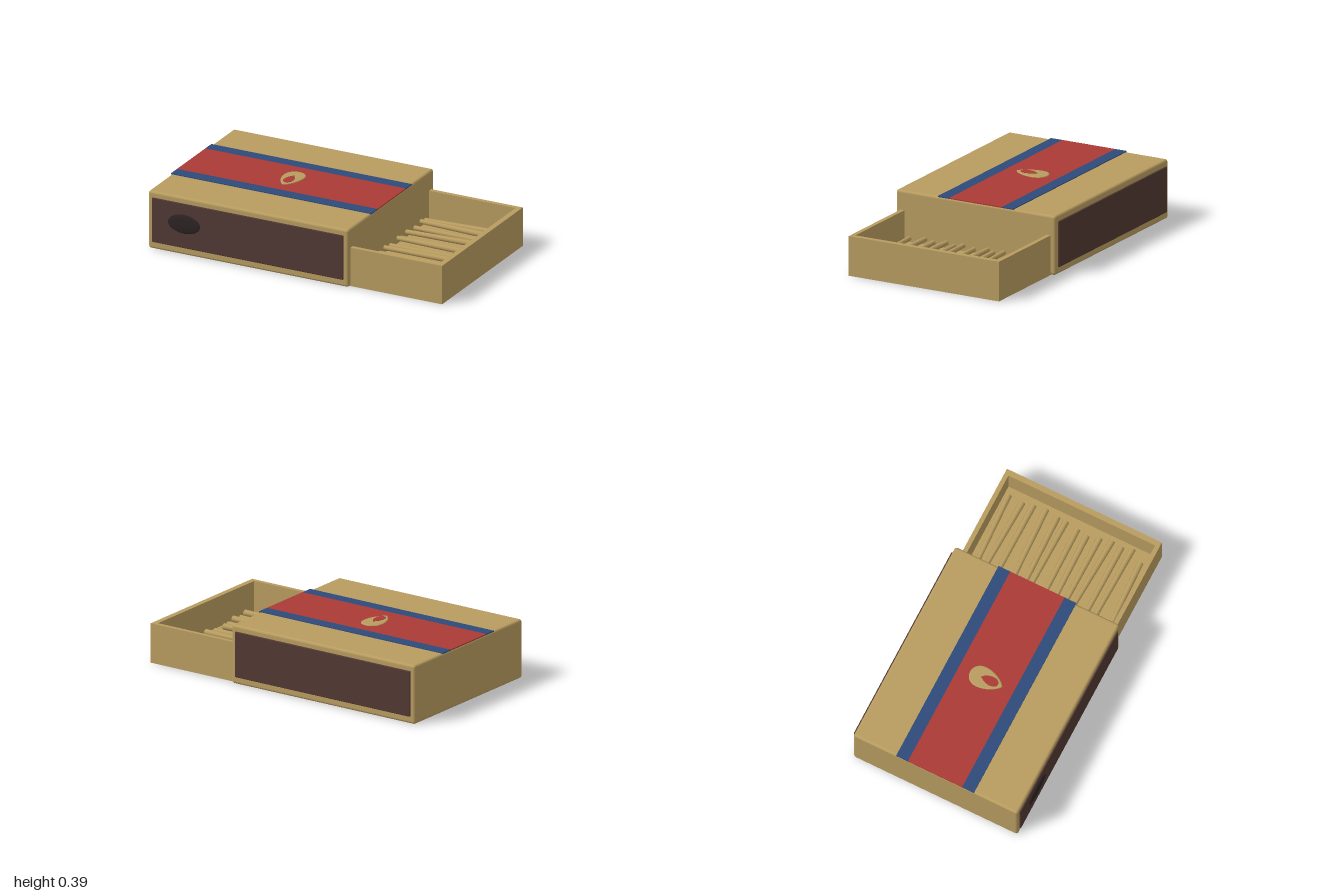
import * as THREE from 'three';
import { RoundedBoxGeometry } from 'three/addons/geometries/RoundedBoxGeometry.js';

const mat = (name, color) => Object.assign(new THREE.MeshStandardMaterial({ color }), { name });

export function createModel() {
  const root = new THREE.Group();
  root.name = 'matchbox';
  const card = mat('tan card', 0xb89c60);
  const red = mat('red label', 0xaa3a35);
  const blue = mat('blue stripe', 0x2f4a7a);
  const brown = mat('striker brown', 0x513833);
  const dark = mat('scorch mark', 0x2c2324);

  const add = (name, geometry, material, parent = root) => {
    const mesh = new THREE.Mesh(geometry, material);
    mesh.name = name;
    parent.add(mesh);
    return mesh;
  };
  // Box given by its minimum and maximum corners, optionally rounded
  const box = (name, a, b, material, radius = 0, parent = root) => {
    const s = a.map((v, i) => b[i] - v);
    const geometry = radius ? new RoundedBoxGeometry(...s, 3, radius) : new THREE.BoxGeometry(...s);
    const mesh = add(name, geometry, material, parent);
    mesh.position.set(...a.map((v, i) => (v + b[i]) / 2));
    return mesh;
  };

  // Outer sleeve
  box('sleeve', [-1, 0.003, -0.562], [0.372, 0.379, 0.556], card, 0.016);

  // Striking strips on the long sides, with a scorch mark on the front one
  box('frontStriker', [-0.97, 0.05, 0.54], [0.34, 0.34, 0.564], brown, 0.004);
  box('backStriker', [-0.97, 0.05, -0.573], [0.34, 0.34, -0.55], brown, 0.004);
  const scorch = add('scorchMark', new THREE.SphereGeometry(1, 24, 12), dark);
  scorch.scale.set(0.11, 0.062, 0.009);
  scorch.position.set(-0.75, 0.208, 0.564);

  // Label bands across the top
  box('redBand', [-1, 0.377, -0.19], [0.375, 0.384, 0.18], red);
  box('backStripe', [-1, 0.377, -0.27], [0.375, 0.384, -0.19], blue);
  box('frontStripe', [-1, 0.377, 0.18], [0.375, 0.384, 0.26], blue);

  // Drop-shaped emblem: shape y runs toward the back of the box
  const emblem = new THREE.Shape();
  emblem.moveTo(0, -0.095);
  emblem.bezierCurveTo(0.025, -0.08, 0.062, -0.02, 0.062, 0.04);
  emblem.bezierCurveTo(0.062, 0.13, -0.062, 0.13, -0.062, 0.04);
  emblem.bezierCurveTo(-0.062, -0.02, -0.025, -0.08, 0, -0.095);
  const drop = add('emblemDrop', new THREE.ExtrudeGeometry(emblem, {
    depth: 0.001, bevelThickness: 0.006, bevelSize: 0.008, bevelSegments: 3, curveSegments: 16,
  }), card);
  const core = new THREE.Shape();
  core.moveTo(0, 0.04);
  core.bezierCurveTo(-0.016, 0.022, -0.03, 0.0, -0.03, -0.03);
  core.bezierCurveTo(-0.03, -0.09, 0.03, -0.09, 0.03, -0.03);
  core.bezierCurveTo(0.03, 0.0, 0.016, 0.022, 0, 0.04);
  const heart = add('emblemCore', new THREE.ExtrudeGeometry(core, {
    depth: 0.004, bevelEnabled: false, curveSegments: 16,
  }), red);
  for (const [mesh, y] of [[drop, 0.383], [heart, 0.388]]) {
    mesh.rotation.x = -Math.PI / 2;
    mesh.position.set(-0.312, y, 0);
  }

  // Tray pulled out to the left
  const tray = new THREE.Group();
  tray.name = 'tray';
  root.add(tray);
  box('trayFloor', [0.33, 0.003, -0.53], [1, 0.06, 0.525], card, 0, tray);
  box('trayEnd', [0.965, 0.003, -0.53], [1, 0.255, 0.525], card, 0, tray);
  box('trayBackWall', [0.33, 0.003, -0.53], [1, 0.255, -0.502], card, 0, tray);
  box('trayFrontWall', [0.33, 0.003, 0.497], [1, 0.255, 0.525], card, 0, tray);

  // Loose matchsticks: [z at the sleeve, z at the tip, x of the tip]
  const sticks = [
    [-0.445, -0.472, 0.91], [-0.39, -0.374, 0.9], [-0.308, -0.308, 0.92], [-0.2, -0.225, 0.925],
    [-0.126, -0.143, 0.915], [-0.088, -0.082, 0.91], [0.01, 0, 0.9], [0.083, 0.072, 0.885],
    [0.147, 0.147, 0.91], [0.2, 0.225, 0.925], [0.292, 0.292, 0.92], [0.35, 0.36, 0.935],
    [0.463, 0.44, 0.88],
  ];
  sticks.forEach(([z0, z1, x1], i) => {
    const a = new THREE.Vector3(0.36, i % 2 ? 0.095 : 0.082, z0);
    const b = new THREE.Vector3(x1, i % 2 ? 0.095 : 0.082, z1);
    const stick = add('matchstick', new THREE.CylinderGeometry(0.02, 0.015, a.distanceTo(b), 10), card, tray);
    stick.position.copy(a).lerp(b, 0.5);
    stick.quaternion.setFromUnitVectors(new THREE.Vector3(0, 1, 0), b.sub(a).normalize());
  });

  return root;
}
